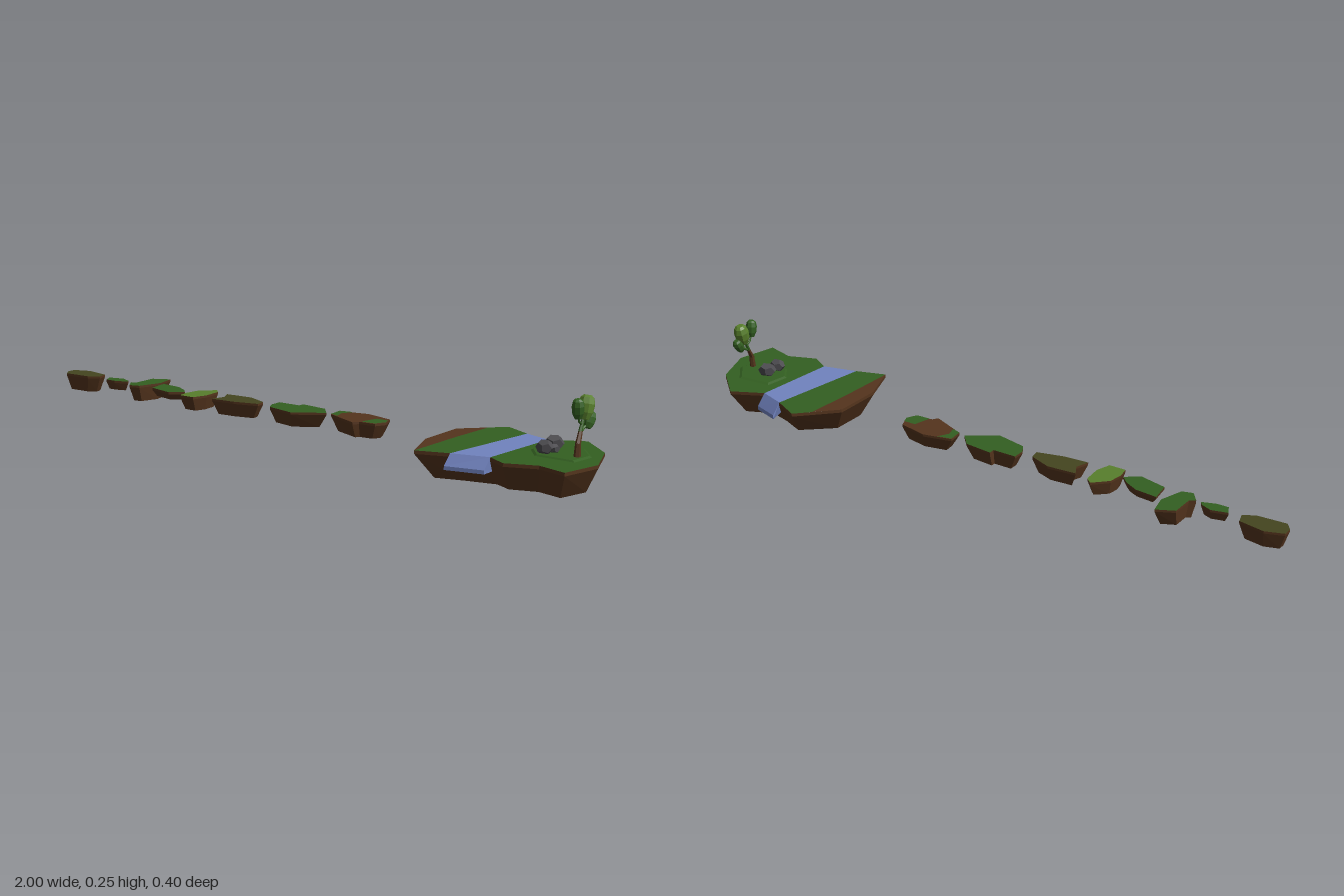
import * as THREE from 'three';

const mat = (name, color) => new THREE.MeshStandardMaterial({ name, color, flatShading: true, side: THREE.DoubleSide });

export function createModel() {
  const model = new THREE.Group();
  model.name = 'floatingIslands';
  const soil = mat('soil', 0x54341d);
  const grass = mat('grass', 0x335f21);
  const lightGrass = mat('lightGrass', 0x587f2c);
  const dryGrass = mat('dryGrass', 0x44451f);
  const water = mat('water', 0x7183bf);
  const stone = mat('stone', 0x4b4a4e);

  const add = (name, geo, material, parent = model) => {
    const mesh = new THREE.Mesh(geo, material);
    mesh.name = name;
    parent.add(mesh);
    return mesh;
  };

  // Joins successive rows of [x, y, z] points with quads
  const strip = (rows, closed) => {
    const pos = [];
    for (let r = 0; r < rows.length - 1; r++) {
      const a = rows[r], b = rows[r + 1], n = a.length;
      for (let i = 0; i < (closed ? n : n - 1); i++) {
        const j = (i + 1) % n;
        pos.push(...a[i], ...a[j], ...b[i], ...a[j], ...b[j], ...b[i]);
      }
    }
    const geo = new THREE.BufferGeometry();
    geo.setAttribute('position', new THREE.Float32BufferAttribute(pos, 3));
    geo.computeVertexNormals();
    return geo;
  };

  // Flat horizontal polygon from [x, z] points
  const plate = (pts, y) => new THREE.ShapeGeometry(
    new THREE.Shape(pts.map(([x, z]) => new THREE.Vector2(x, -z)))).rotateX(-Math.PI / 2).translate(0, y, 0);

  const shrink = (pts, cx, cz, sx, sz) => pts.map(([x, z]) => [cx + (x - cx) * sx, cz + (z - cz) * sz]);
  const at = (pts, y) => pts.map(([x, z]) => [x, y, z]);

  // Main island: hollow tapering soil shell with a narrow upright rim
  const TOP = 0.083;
  const coast = [[0.583, -0.2], [0.668, -0.158], [0.752, -0.13], [0.85, -0.18], [0.95, -0.09], [1, 0.04], [0.97, 0.165],
    [0.88, 0.14], [0.79, 0.175], [0.73, 0.14], [0.62, 0.168], [0.525, 0.2], [0.475, 0.07], [0.475, -0.09]];
  const island = new THREE.Group();
  island.name = 'mainIsland';
  model.add(island);
  add('islandWall', strip([at(coast, TOP), at(coast, 0.073), at(shrink(coast, 0.735, 0, 0.85, 0.73), 0)], true), soil, island);
  add('rightMeadow', plate(coast.slice(2, 10), TOP), grass, island);
  add('leftMeadow', plate([[0.54, -0.156], coast[0], coast[1], coast[10], coast[11], [0.53, 0]], TOP), grass, island);
  add('bareSoil', plate([coast[13], [0.54, -0.156], [0.53, 0], coast[11], coast[12]], TOP), soil, island);
  const mound = [[0.79, -0.07], [0.89, -0.08], [0.94, -0.02], [0.93, 0.05], [0.82, 0.05], [0.78, 0]];
  add('moundSide', strip([at(mound, 0.087), at(shrink(mound, 0.86, 0, 1.1, 1.1), TOP)], true), grass, island);
  add('moundTop', plate(mound, 0.087), grass, island);

  // River crossing the island with a short spill at each end
  const river = [
    [[0.69, 0.033, -0.12], [0.757, 0.033, -0.095]],
    [[0.675, 0.033, -0.182], [0.76, 0.033, -0.155]],
    [[0.675, 0.046, -0.182], [0.76, 0.046, -0.155]],
    [[0.668, TOP, -0.158], [0.752, TOP, -0.13]],
    [[0.62, TOP, 0.168], [0.73, TOP, 0.14]],
    [[0.615, 0.051, 0.19], [0.727, 0.051, 0.165]],
    [[0.615, 0.04, 0.19], [0.727, 0.04, 0.165]],
    [[0.62, 0.04, 0.13], [0.727, 0.04, 0.105]]];
  add('river', strip(river), water, island);
  for (const side of [0, 1]) {
    for (const start of [0, 4]) {
      const [a, b, c, d] = river.slice(start, start + 4).map((row) => row[side]);
      add('spillSide', strip([[a, b], [d, c]]), water, island);
    }
  }

  // Rocks
  for (const [x, z, sx, sy, sz, turn] of [
    [0.83, 0.026, 0.026, 0.022, 0.02, 0.4], [0.83, -0.024, 0.03, 0.024, 0.021, 1.2], [0.845, 0, 0.016, 0.014, 0.014, 2]]) {
    const rock = add('rock', new THREE.DodecahedronGeometry(1), stone, island);
    rock.position.set(x, 0.085 + sy * 0.85, z);
    rock.scale.set(sx, sy, sz);
    rock.rotation.y = turn * 0.3;
  }

  // Tree: straight limb segments and faceted leaf clumps
  const tree = new THREE.Group();
  tree.name = 'tree';
  island.add(tree);
  const limb = (name, a, b, r0, r1, material) => {
    const p = new THREE.Vector3(...a), d = new THREE.Vector3(...b).sub(p);
    const mesh = add(name, new THREE.CylinderGeometry(r1, r0, d.length(), 6), material, tree);
    mesh.position.copy(p).addScaledVector(d, 0.5);
    mesh.quaternion.setFromUnitVectors(new THREE.Vector3(0, 1, 0), d.normalize());
  };
  limb('trunk', [0.918, 0.08, 0.007], [0.918, 0.122, 0.003], 0.01, 0.008, soil);
  limb('trunk', [0.918, 0.12, 0.004], [0.915, 0.153, -0.014], 0.008, 0.006, soil);
  limb('branch', [0.915, 0.15, -0.012], [0.914, 0.192, -0.032], 0.006, 0.004, grass);
  limb('branch', [0.915, 0.152, -0.014], [0.918, 0.168, -0.045], 0.005, 0.003, grass);
  limb('branch', [0.914, 0.17, -0.02], [0.916, 0.18, -0.002], 0.003, 0.003, grass);
  limb('branch', [0.916, 0.179, -0.003], [0.918, 0.195, 0.005], 0.003, 0.003, grass);
  const clump = [[0, -1], [0.55, -0.95], [0.9, -0.4], [1, 0.3], [0.8, 0.8], [0.45, 1], [0, 1]].map((p) => new THREE.Vector2(...p));
  for (const [x, y, z, r, h, tilt, material] of [
    [0.915, 0.213, -0.04, 0.024, 0.034, -0.25, lightGrass],
    [0.918, 0.217, 0.009, 0.018, 0.028, 0.08, grass],
    [0.92, 0.177, -0.052, 0.017, 0.024, -0.5, grass]]) {
    const leaves = add('leafClump', new THREE.LatheGeometry(clump, 8), material, tree);
    leaves.position.set(x, y, z);
    leaves.scale.set(r, h, r);
    leaves.rotation.x = tilt;
  }

  // Row of stepping islets: bottom height, turf, open underside, coast
  const islets = [
    [0.03, dryGrass, false, [[-1, -0.04], [-0.945, -0.06], [-0.865, -0.045], [-0.855, -0.01], [-0.89, 0.01], [-0.98, 0.015], [-1, -0.01]]],
    [0.053, grass, false, [[-0.82, -0.02], [-0.77, -0.033], [-0.735, -0.018], [-0.727, -0.005], [-0.77, 0.01], [-0.805, 0.01]]],
    [0.03, grass, false, [[-0.695, -0.09], [-0.642, -0.117], [-0.628, -0.055], [-0.652, 0.02], [-0.685, 0.03], [-0.712, -0.005], [-0.695, -0.016]]],
    [0.057, grass, true, [[-0.61, -0.05], [-0.54, -0.043], [-0.497, -0.02], [-0.472, 0.005], [-0.513, 0.037], [-0.6, 0.016]]],
    [0.037, lightGrass, false, [[-0.455, -0.037], [-0.412, -0.08], [-0.392, -0.06], [-0.387, 0], [-0.402, 0.047], [-0.455, 0.047], [-0.462, 0.01]]],
    [0.035, dryGrass, false, [[-0.348, -0.053], [-0.257, -0.06], [-0.187, -0.032], [-0.182, 0], [-0.262, 0.021], [-0.342, 0.027], [-0.328, -0.016]]],
    [0.035, grass, false, [[-0.145, -0.06], [-0.07, -0.06], [-0.07, -0.08], [0.02, -0.07], [0.058, -0.027], [-0.032, 0.032], [-0.128, 0.01], [-0.145, -0.02]]],
    [0.035, soil, false, [[0.075, -0.07], [0.165, -0.091], [0.257, -0.07], [0.273, -0.027], [0.257, 0.005], [0.203, 0.01], [0.192, 0.027], [0.08, -0.021]]]];
  islets.forEach(([bottom, turf, open, pts]) => {
    const islet = new THREE.Group();
    islet.name = 'islet';
    model.add(islet);
    const cx = pts.reduce((s, p) => s + p[0], 0) / pts.length;
    const cz = pts.reduce((s, p) => s + p[1], 0) / pts.length;
    const base = shrink(pts, cx, cz, 0.77, 0.72);
    add('isletWall', strip([at(pts, TOP), at(pts, 0.076), at(base, bottom)], true), soil, islet);
    add('isletTop', plate(pts, TOP), turf, islet);
    if (!open) add('isletBase', plate(base, bottom).rotateX(0), soil, islet);
  });
  // Grass patches at the ends of the bare islet
  add('grassPatch', plate([[0.075, -0.07], [0.12, -0.08], [0.1, -0.045], [0.11, -0.012], [0.08, -0.021]], 0.0845), grass);
  add('grassPatch', plate([[0.225, -0.05], [0.265, -0.05], [0.273, -0.027], [0.257, 0.005], [0.21, 0.008]], 0.0845), grass);
  return model;
}
